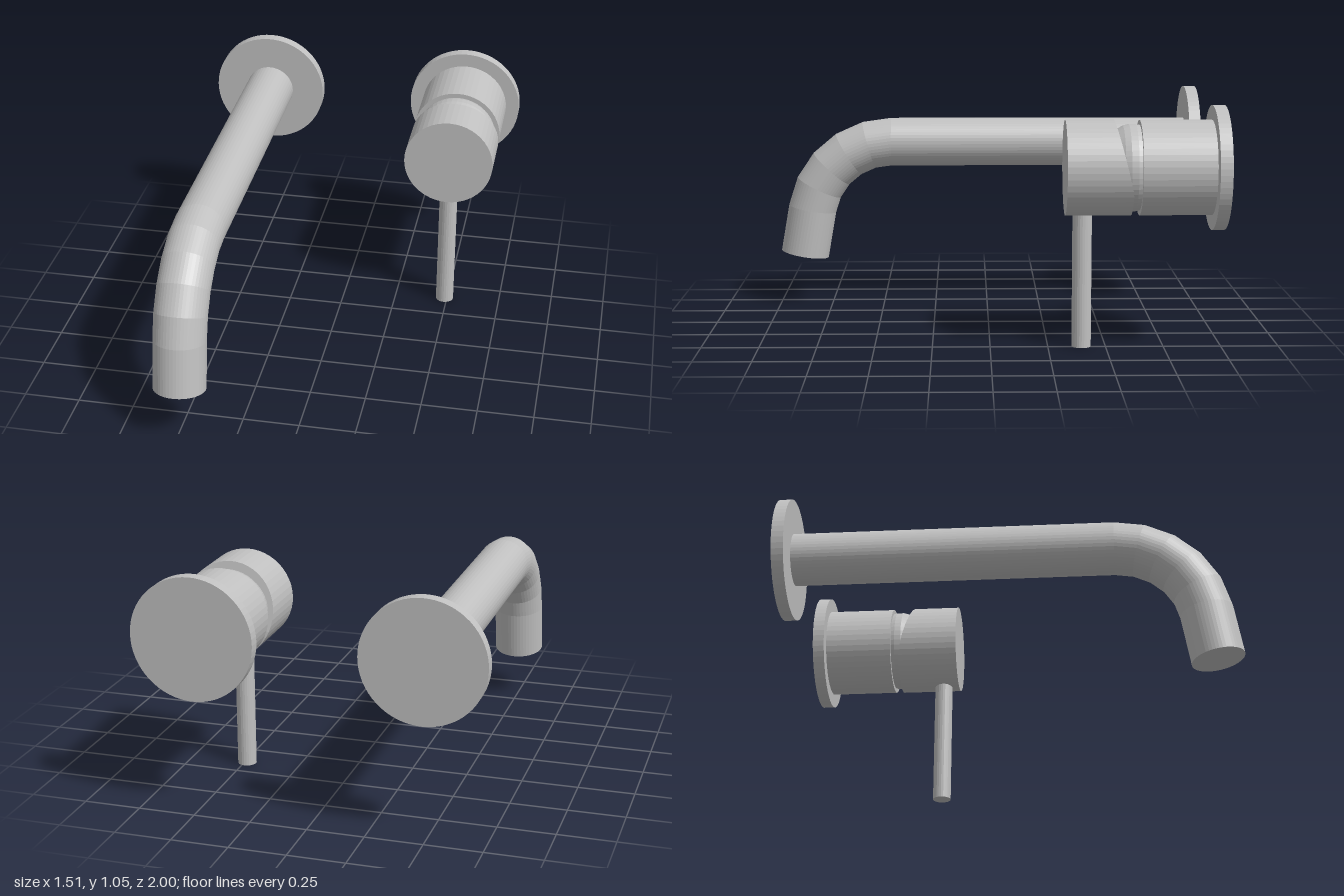
import * as THREE from 'three';

const SIDES = 48;
const AXIS_Y = 0.78;

export function createModel() {
  const metal = new THREE.MeshStandardMaterial({ color: 0xc0c0c0, flatShading: true });
  metal.name = 'brushed metal';

  const add = (parent, name, geometry) => {
    const mesh = new THREE.Mesh(geometry, metal);
    mesh.name = name;
    parent.add(mesh);
    return mesh;
  };

  // Cylinder lying along z, between two depths
  const disc = (radius, z0, z1, sides = SIDES) =>
    new THREE.CylinderGeometry(radius, radius, z1 - z0, sides)
      .rotateX(Math.PI / 2).translate(0, 0, (z0 + z1) / 2);

  // Closed pipe that runs straight, bends down by 80 degrees and ends straight
  const spoutPipe = () => {
    const bend = 0.392, steps = 5, total = THREE.MathUtils.degToRad(80);
    const stations = [{ y: 0, z: -0.96, a: 0 }];
    for (let i = 0; i <= steps; i++) {
      const a = total * i / steps;
      stations.push({ y: -bend * (1 - Math.cos(a)), z: 0.46 + bend * Math.sin(a), a });
    }
    const last = stations[steps + 1], tip = 0.225;
    stations.push({ y: last.y - tip * Math.sin(total), z: last.z + tip * Math.cos(total), a: total });

    const rows = stations.length - 1;
    const geometry = new THREE.CylinderGeometry(0.115, 0.115, rows, SIDES, rows);
    const p = geometry.attributes.position;
    for (let i = 0; i < p.count; i++) {
      const s = stations[Math.round(p.getY(i) + rows / 2)];
      const across = -p.getZ(i);
      p.setXYZ(i, p.getX(i), s.y + across * Math.cos(s.a), s.z + across * Math.sin(s.a));
    }
    geometry.computeVertexNormals();
    return geometry;
  };

  // Handle cap whose back is cut at a slant, square near the bottom
  const slantedCap = () => {
    const geometry = disc(0.205, -0.6, -0.32);
    const p = geometry.attributes.position;
    for (let i = 0; i < p.count; i++) {
      if (p.getZ(i) < -0.5) p.setZ(i, Math.max(-0.6, -0.527 - (0.205 - p.getY(i)) * 0.247));
    }
    geometry.computeVertexNormals();
    return geometry;
  };

  // Neck with a softly domed front, turned about z
  const neckProfile = [[0.18, -0.65], [0.187, -0.62], [0.187, -0.59], [0.18, -0.565], [0.165, -0.54], [0.13, -0.51], [0, -0.48]]
    .map(([r, z]) => new THREE.Vector2(r, z));

  const model = new THREE.Group();
  model.name = 'wall mounted tap';

  const spout = new THREE.Group();
  spout.name = 'spout';
  spout.position.set(-0.49, AXIS_Y, 0);
  add(spout, 'spoutWallPlate', disc(0.267, -1, -0.947, 64));
  add(spout, 'spoutPipe', spoutPipe());

  const control = new THREE.Group();
  control.name = 'control';
  control.position.set(0.488, AXIS_Y, 0);
  add(control, 'controlWallPlate', disc(0.267, -1, -0.947, 64));
  add(control, 'controlBody', disc(0.204, -0.96, -0.637));
  add(control, 'controlNeck', new THREE.LatheGeometry(neckProfile, SIDES).rotateX(Math.PI / 2));
  add(control, 'handleCap', slantedCap());

  // Lever hanging from the cap
  const lever = add(control, 'lever', new THREE.CylinderGeometry(0.042, 0.042, 0.62, 24));
  lever.position.set(0, 0.31 - AXIS_Y, -0.395);

  model.add(spout, control);
  return model;
}
